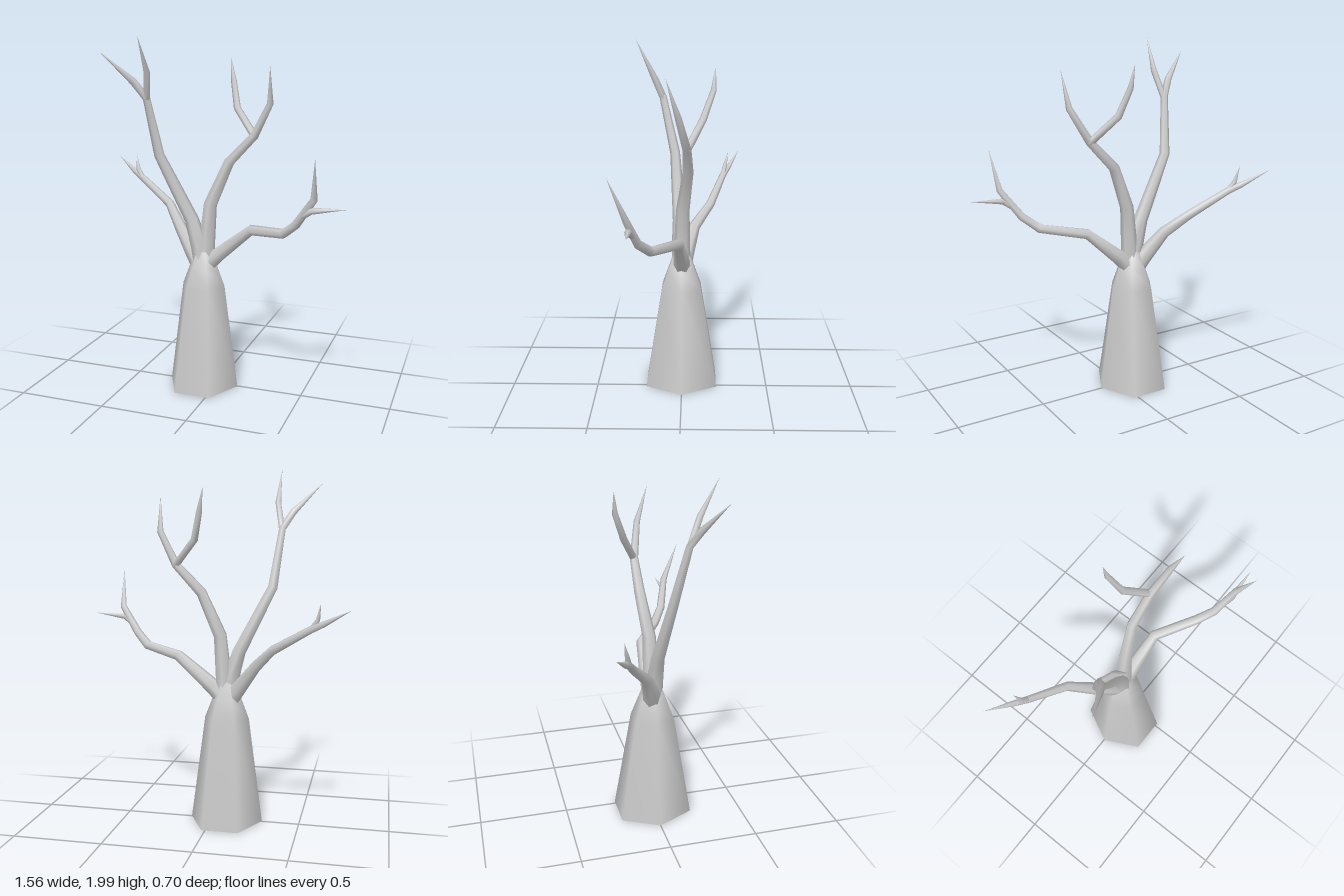
import * as THREE from 'three';

const material = new THREE.MeshStandardMaterial({ color: 0xcccccc, side: THREE.DoubleSide });
const SIDES = 6;

// Tapered limb lofted through points given as [x, y, z, radius]
function limb(name, points) {
  const centres = points.map(([x, y, z]) => new THREE.Vector3(x, y, z));
  const positions = [], index = [];
  const normal = new THREE.Vector3(0, 0, 1);
  centres.forEach((c, i) => {
    const last = centres.length - 1;
    const before = i > 0 ? c.clone().sub(centres[i - 1]).normalize() : new THREE.Vector3();
    const after = i < last ? centres[i + 1].clone().sub(c).normalize() : new THREE.Vector3();
    const tangent = before.add(after).normalize();
    normal.addScaledVector(tangent, -normal.dot(tangent)).normalize();
    const binormal = new THREE.Vector3().crossVectors(tangent, normal);
    for (let s = 0; s < SIDES; s++) {
      const a = (s / SIDES) * Math.PI * 2;
      const p = c.clone()
        .addScaledVector(normal, Math.cos(a) * points[i][3])
        .addScaledVector(binormal, Math.sin(a) * points[i][3]);
      positions.push(p.x, p.y, p.z);
      if (i < last) {
        const p0 = i * SIDES + s, p1 = i * SIDES + (s + 1) % SIDES;
        index.push(p0, p1, p1 + SIDES, p0, p1 + SIDES, p0 + SIDES);
      }
    }
  });
  const geometry = new THREE.BufferGeometry();
  geometry.setAttribute('position', new THREE.Float32BufferAttribute(positions, 3));
  geometry.setIndex(index);
  geometry.computeVertexNormals();
  const mesh = new THREE.Mesh(geometry, material);
  mesh.name = name;
  return mesh;
}

// Six-sided trunk, open underneath, narrowing into the crown
function trunk() {
  const profile = [[0.206, 0], [0.126, 0.6], [0.084, 0.71], [0.05, 0.8], [0.001, 0.86]]
    .map(([r, y]) => new THREE.Vector2(r, y));
  const geometry = new THREE.LatheGeometry(profile, SIDES, Math.PI / 6);
  const p = geometry.attributes.position;
  for (let i = 0; i < p.count; i++) {
    const y = p.getY(i);
    p.setZ(i, p.getZ(i) * (y < 0.1 ? 1.15 : 1.02));
  }
  geometry.translate(-0.083, 0, 0.003);
  const mesh = new THREE.Mesh(geometry, material);
  mesh.name = 'trunk';
  return mesh;
}

// Each branch has one main path ending in a tip, plus one forked twig
const branches = {
  upperRightBranch: {
    main: [[-0.085, 0.7, 0.01, 0.05], [-0.105, 0.83, 0.01, 0.05], [-0.15, 0.98, 0.015, 0.04],
      [-0.33, 1.34, 0.045, 0.029], [-0.37, 1.66, 0.115, 0.021], [-0.425, 1.75, 0.16, 0.02], [-0.58, 1.91, 0.247, 0]],
    twig: [[-0.37, 1.64, 0.11, 0.018], [-0.337, 1.8, 0.175, 0.017], [-0.345, 1.99, 0.268, 0]],
  },
  lowerRightBranch: {
    main: [[-0.09, 0.68, 0, 0.05], [-0.15, 0.77, -0.02, 0.048], [-0.255, 0.91, -0.07, 0.034],
      [-0.36, 1.02, -0.165, 0.026], [-0.57, 1.15, -0.245, 0.02], [-0.64, 1.185, -0.28, 0.016], [-0.78, 1.265, -0.35, 0]],
    twig: [[-0.56, 1.14, -0.24, 0.015], [-0.605, 1.2, -0.258, 0.013], [-0.622, 1.29, -0.277, 0]],
  },
  upperLeftBranch: {
    main: [[-0.07, 0.7, 0, 0.05], [-0.065, 0.83, 0, 0.047], [-0.045, 1.07, -0.005, 0.038],
      [0.055, 1.31, -0.035, 0.03], [0.2, 1.46, -0.03, 0.024], [0.3, 1.64, 0.012, 0.018], [0.315, 1.84, 0.075, 0]],
    twig: [[0.205, 1.455, -0.03, 0.021], [0.075, 1.6, -0.115, 0.02], [0.035, 1.75, -0.17, 0.016], [0.015, 1.875, -0.18, 0]],
  },
  lowerLeftBranch: {
    main: [[-0.08, 0.7, 0, 0.05], [0, 0.78, 0, 0.046], [0.2, 0.945, 0.012, 0.031],
      [0.42, 0.975, 0.15, 0.027], [0.5, 1.04, 0.21, 0.024], [0.605, 1.19, 0.258, 0.019], [0.625, 1.41, 0.347, 0]],
    twig: [[0.535, 1.09, 0.228, 0.018], [0.59, 1.13, 0.25, 0.019], [0.78, 1.15, 0.245, 0]],
  },
};

export function createModel() {
  const tree = new THREE.Group();
  tree.name = 'bareTree';
  tree.add(trunk());
  for (const [name, { main, twig }] of Object.entries(branches)) {
    const group = new THREE.Group();
    group.name = name;
    group.add(limb('limb', main), limb('twig', twig));
    tree.add(group);
  }
  return tree;
}
